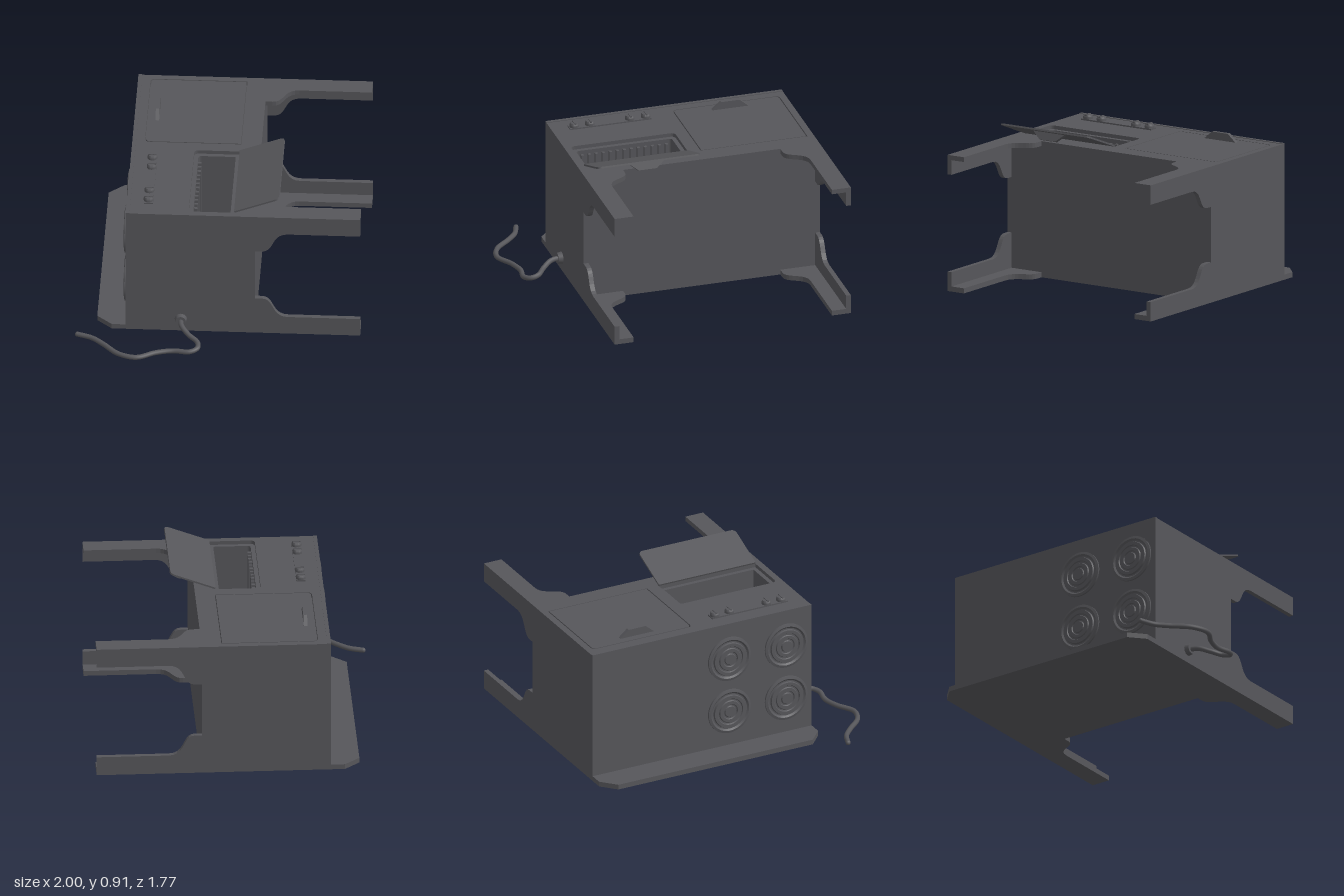
import * as THREE from 'three';
import { toCreasedNormals } from 'three/addons/utils/BufferGeometryUtils.js';

const steel = new THREE.MeshStandardMaterial({ color: 0x56565a });
steel.name = 'dark grey enamel';

// Stove lying on its back: legs run to +x, its front faces +y, its width runs along z
const TOP = -0.53, BASE = 0.21, LEG_END = 0.815, H = 0.8;
const Z0 = -0.744, Z1 = 0.674, LEG = 0.114, WALL = 0.028;

function add(parent, name, geometry, x = 0, y = 0, z = 0) {
  const mesh = new THREE.Mesh(geometry, steel);
  mesh.name = name;
  mesh.position.set(x, y, z);
  parent.add(mesh);
  return mesh;
}

function box(parent, name, x0, x1, y0, y1, z0, z1) {
  return add(parent, name, new THREE.BoxGeometry(x1 - x0, y1 - y0, z1 - z0),
    (x0 + x1) / 2, (y0 + y1) / 2, (z0 + z1) / 2);
}

// Panel outline with a leg at either edge, flaring into the body in an S-curve
function legPanel(a, b, topPoints) {
  const s = new THREE.Shape();
  const flare = 0.237;
  s.moveTo(...topPoints[0]);
  topPoints.slice(1).forEach(p => s.lineTo(...p));
  s.lineTo(LEG_END, a);
  s.lineTo(LEG_END, a + LEG);
  s.lineTo(0.40, a + LEG);
  s.bezierCurveTo(0.30, a + LEG, 0.325, a + flare, 0.25, a + flare);
  s.lineTo(BASE, a + flare);
  s.lineTo(BASE, b - flare);
  s.lineTo(0.25, b - flare);
  s.bezierCurveTo(0.325, b - flare, 0.30, b - LEG, 0.40, b - LEG);
  s.lineTo(LEG_END, b - LEG);
  s.lineTo(LEG_END, b);
  s.closePath();
  return s;
}

// Rectangle rounded at its two low-x corners
function doorOutline(x0, x1, z0, z1, r, Type = THREE.Shape) {
  const s = new Type();
  s.moveTo(x1, z0);
  s.lineTo(x1, z1);
  s.lineTo(x0 + r, z1);
  s.quadraticCurveTo(x0, z1, x0, z1 - r);
  s.lineTo(x0, z0 + r);
  s.quadraticCurveTo(x0, z0, x0 + r, z0);
  s.closePath();
  return s;
}

const extrude = (shape, depth) =>
  new THREE.ExtrudeGeometry(shape, { depth, bevelEnabled: false, curveSegments: 10 });
// Lays a shape flat, with its upper face at y = 0
const flat = (shape, depth) => extrude(shape, depth).rotateX(Math.PI / 2);

// Tapered bar handle lying along z
function addHandle(parent, x, y, z) {
  const s = new THREE.Shape([[-0.108, 0], [0.108, 0], [0.055, 0.045], [-0.055, 0.045]]
    .map(p => new THREE.Vector2(...p)));
  const g = extrude(s, 0.022).translate(0, 0, -0.011).rotateY(-Math.PI / 2);
  add(parent, 'doorHandle', g, x, y, z);
}

export function createModel() {
  const model = new THREE.Group();
  model.name = 'overturnedStove';
  const stove = new THREE.Group();
  stove.name = 'stove';
  stove.rotation.y = -0.291;
  model.add(stove);

  // Side panels
  for (const [name, z] of [['leftSide', Z0], ['rightSide', Z1 - WALL]]) {
    add(stove, name, extrude(legPanel(0, H, [[TOP, H], [TOP, 0]]), WALL), 0, 0, z);
  }

  // Front panel with two door openings
  const front = legPanel(Z0, Z1, [[TOP, Z1], [TOP, Z0]]);
  front.holes.push(doorOutline(-0.46, 0.097, -0.705, -0.063, 0.03, THREE.Path));
  front.holes.push(doorOutline(-0.172, 0.092, 0.01, 0.635, 0.03, THREE.Path));
  add(stove, 'frontPanel', flat(front, WALL), 0, H, 0);

  // Back panel, continuing past the cooktop as a splash board with cut corners
  const back = legPanel(Z0, Z1,
    [[-0.612, Z1], [-0.699, Z1 - 0.08], [-0.699, Z0 + 0.08], [-0.612, Z0]]);
  add(stove, 'backPanel', flat(back, 0.03), 0, 0.03, 0);

  // Cooktop and underside
  box(stove, 'cooktop', TOP - 0.002, TOP + 0.02, 0.01, H + 0.003, Z0, Z1);
  box(stove, 'underside', BASE - 0.025, BASE, 0.01, H - 0.005, Z0 + 0.01, Z1 - 0.01);

  // Burners: raised concentric rings
  const ringProfile = [[0.137, 0], [0.137, 0.01], [0.122, 0.014], [0.112, 0.006], [0.104, 0.006],
    [0.1, 0.016], [0.082, 0.016], [0.078, 0.01], [0.07, 0.01], [0.066, 0.016], [0.048, 0.016],
    [0.044, 0.01], [0.036, 0.01], [0.032, 0.016], [0, 0.016]].map(p => new THREE.Vector2(...p));
  const burner = toCreasedNormals(new THREE.LatheGeometry(ringProfile, 40), 0.4);
  for (const z of [0.14, 0.507]) for (const y of [0.247, 0.581]) {
    add(stove, 'burner', burner, TOP - 0.002, y, z).rotation.z = Math.PI / 2;
  }

  // Large closed oven door
  add(stove, 'ovenDoor', flat(doorOutline(-0.454, 0.092, -0.699, -0.069, 0.025), 0.04), 0, H, 0);
  box(stove, 'ovenDoorBacking', -0.48, 0.115, 0.74, 0.765, -0.715, -0.05);
  addHandle(stove, -0.40, H, -0.392);

  // Small oven cavity with a stepped rim and ribbed wall
  const rim = doorOutline(-0.2, 0.12, -0.02, 0.645, 0.01);
  rim.holes.push(doorOutline(-0.147, 0.067, 0.035, 0.61, 0.02, THREE.Path));
  add(stove, 'ovenLining', flat(rim, 0.45), 0, H - 0.022, 0);
  box(stove, 'ovenFloor', -0.2, 0.12, 0.31, 0.33, -0.02, 0.645);
  for (let i = 0; i < 13; i++) {
    const z = 0.07 + i * 0.042;
    box(stove, 'ovenRib', -0.15, -0.127, 0.33, 0.755, z - 0.008, z + 0.008);
  }

  // Small oven door, swung open about its hinge
  const openDoor = new THREE.Group();
  openDoor.name = 'openOvenDoor';
  openDoor.position.set(0.092, H, 0);
  openDoor.rotation.z = -(Math.PI - 0.363);
  stove.add(openDoor);
  add(openDoor, 'openDoorPanel', flat(doorOutline(-0.276, 0, 0.01, 0.635, 0.03), 0.01));
  addHandle(openDoor, -0.215, 0, 0.322);

  // Control strip and knobs
  box(stove, 'controlStrip', -0.432, -0.38, H - 0.005, H + 0.008, 0.083, 0.572);
  const knobProfile = [[0.028, 0], [0.028, 0.014], [0.022, 0.024], [0, 0.026]]
    .map(p => new THREE.Vector2(...p));
  const knob = toCreasedNormals(new THREE.LatheGeometry(knobProfile, 20), 0.6);
  for (const z of [0.111, 0.206, 0.446, 0.54]) {
    add(stove, 'knob', knob, -0.407, H + 0.007, z);
    box(stove, 'knobGrip', -0.431, -0.383, H + 0.02, H + 0.036, z - 0.005, z + 0.005);
  }

  // Cord socket and power cord trailing over the floor
  const socket = new THREE.CylinderGeometry(0.03, 0.036, 0.03, 20).rotateX(Math.PI / 2);
  add(stove, 'cordSocket', socket, -0.215, 0.08, Z1 + 0.012);
  const path = [[-0.4, 0.08, 0.585], [-0.41, 0.075, 0.65], [-0.385, 0.055, 0.72], [-0.35, 0.04, 0.78],
    [-0.36, 0.03, 0.825], [-0.41, 0.022, 0.84], [-0.5, 0.017, 0.8], [-0.6, 0.017, 0.795],
    [-0.72, 0.017, 0.815], [-0.81, 0.017, 0.755], [-0.87, 0.017, 0.64], [-0.92, 0.017, 0.56],
    [-0.99, 0.017, 0.505]].map(p => new THREE.Vector3(...p));
  add(model, 'powerCord',
    new THREE.TubeGeometry(new THREE.CatmullRomCurve3(path), 90, 0.015, 10));
  const end = add(model, 'cordEnd', new THREE.SphereGeometry(0.015, 10, 8), -0.99, 0.017, 0.505);
  end.scale.setScalar(0.99);

  return model;
}
